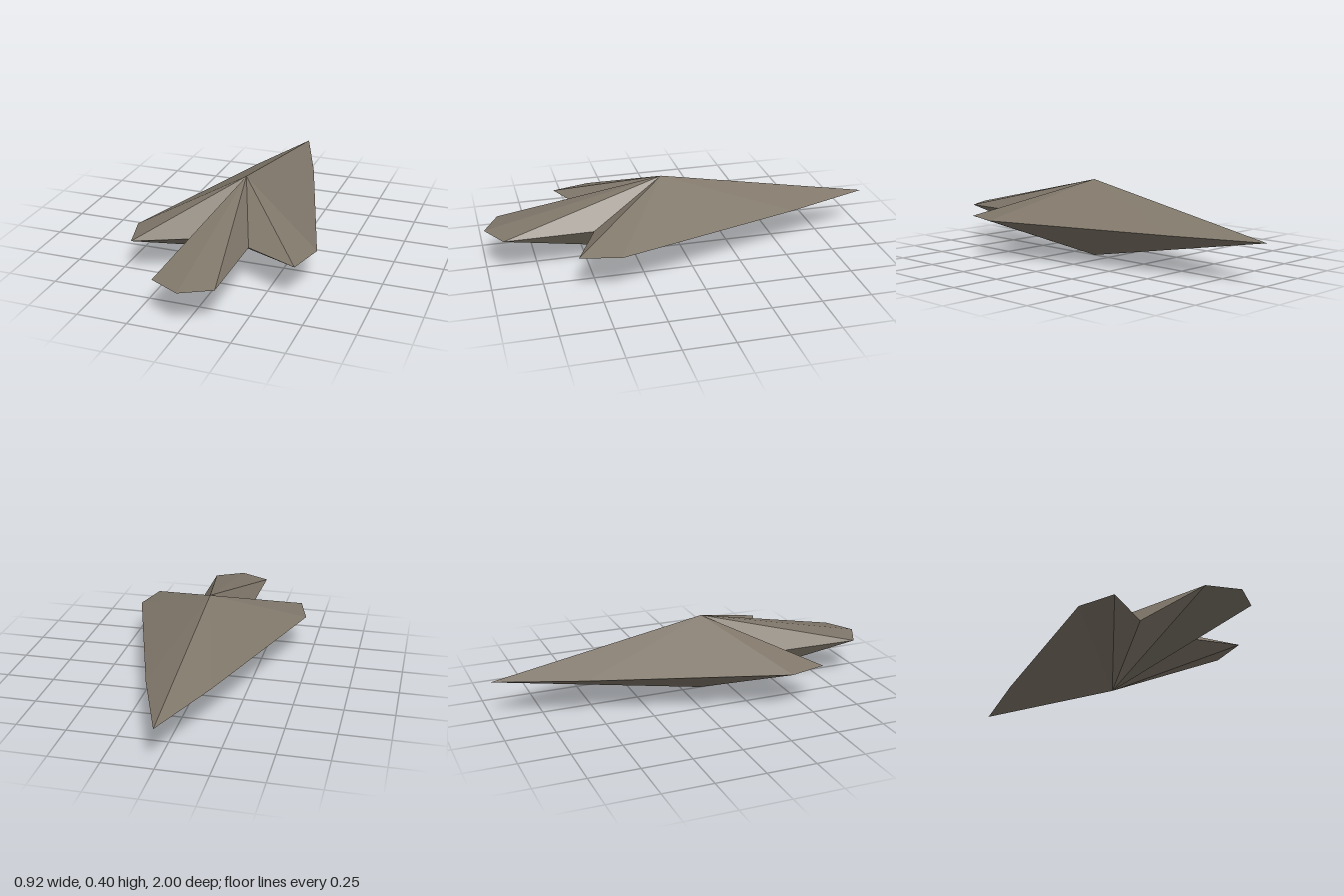
import * as THREE from 'three';

// Waist outline (x, z): from the nose along +x to the tail tip and back along -x
const OUTLINE = [
  [0, -1], [0.16, -0.56], [0.46, 0.4], [0.41, 0.595], [0.145, 0.475], [0.147, 0.92],
  [0, 1], [-0.155, 0.92], [-0.145, 0.475], [-0.41, 0.595], [-0.463, 0.4], [-0.16, -0.56],
];
const WAIST_Y = 0.2;
const APEX_Z = 0.1;

// Fan of flat facets from the waist outline to one apex
function shell(apexY) {
  const positions = [];
  OUTLINE.forEach(([ax, az], i) => {
    const [bx, bz] = OUTLINE[(i + 1) % OUTLINE.length];
    const a = [ax, WAIST_Y, az];
    const b = [bx, WAIST_Y, bz];
    const [first, second] = apexY > WAIST_Y ? [b, a] : [a, b];
    positions.push(0, apexY, APEX_Z, ...first, ...second);
  });
  const geometry = new THREE.BufferGeometry();
  geometry.setAttribute('position', new THREE.Float32BufferAttribute(positions, 3));
  geometry.computeVertexNormals();
  return geometry;
}

export function createModel() {
  const group = new THREE.Group();
  group.name = 'dartShip';

  const hull = new THREE.MeshStandardMaterial({ color: 0x80776a, flatShading: true });
  hull.name = 'warmGrey';

  // Upper and lower halves of the hull, meeting at the sharp waist
  for (const [name, apexY] of [['upperHull', 0.4], ['lowerHull', 0]]) {
    const mesh = new THREE.Mesh(shell(apexY), hull);
    mesh.name = name;
    group.add(mesh);
  }
  return group;
}
